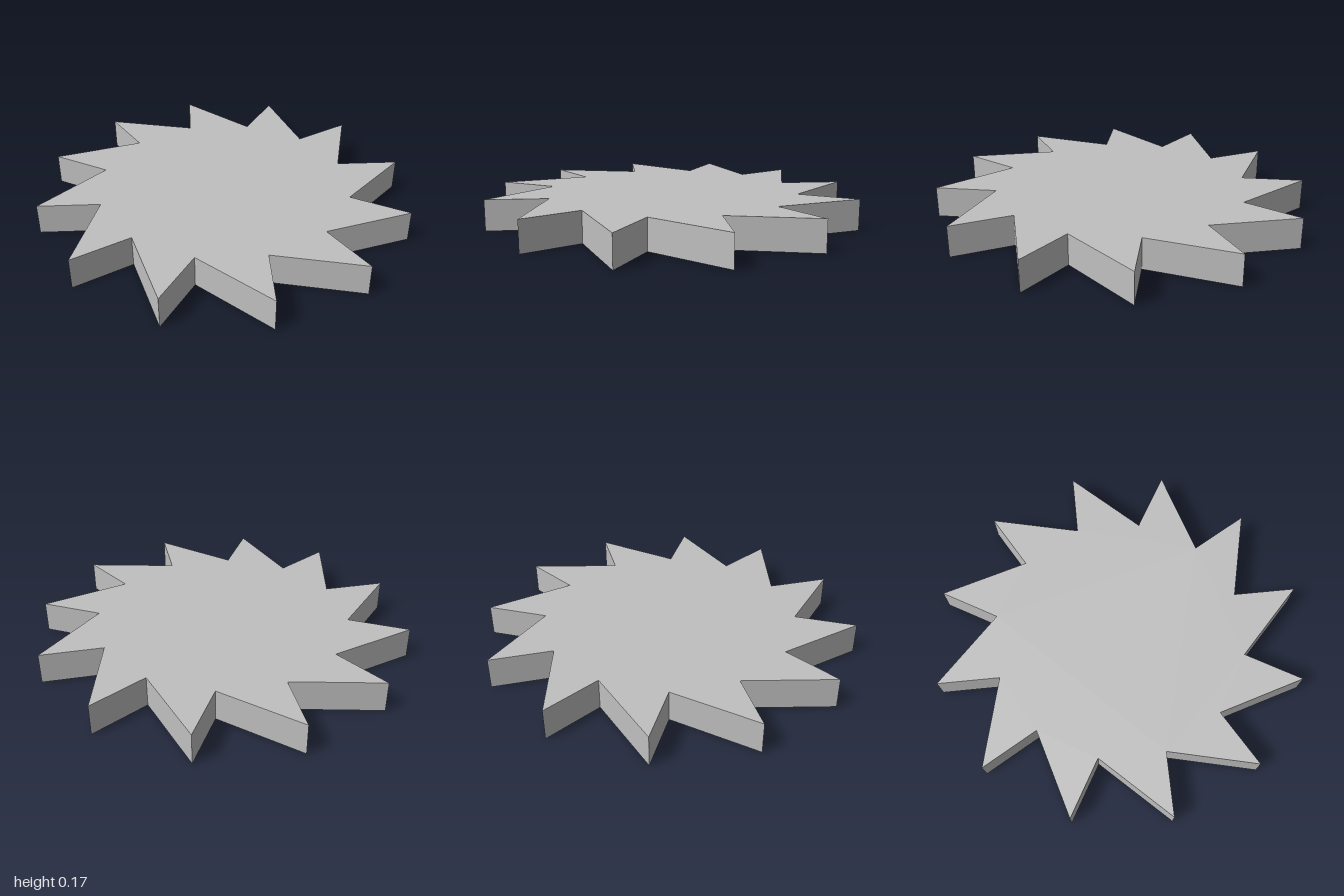
import * as THREE from 'three';

const TEETH = 12;
const HEIGHT = 0.168;
const TIP = { radius: 1.0157, angle: -10.1 };
const ROOT = { radius: 0.687, angle: 15 };

// Point of the outline for the given tooth
function outlinePoint({ radius, angle }, tooth) {
  const a = THREE.MathUtils.degToRad(angle + (tooth * 360) / TEETH);
  return new THREE.Vector2(radius * Math.cos(a), radius * Math.sin(a));
}

export function createModel() {
  const metal = new THREE.MeshStandardMaterial({ color: 0xc0c0c0 });
  metal.name = 'greyMetal';

  // Slanted saw teeth: a tip and a root for each
  const points = [];
  for (let i = 0; i < TEETH; i++) {
    points.push(outlinePoint(TIP, i), outlinePoint(ROOT, i));
  }

  // Flat solid plate, laid down so it stands on y = 0
  const geometry = new THREE.ExtrudeGeometry(new THREE.Shape(points), {
    depth: HEIGHT,
    bevelEnabled: false,
  });
  geometry.rotateX(Math.PI / 2);
  geometry.translate(0, HEIGHT, 0);

  const wheel = new THREE.Mesh(geometry, metal);
  wheel.name = 'toothedWheel';

  const group = new THREE.Group();
  group.name = 'ratchetWheel';
  group.add(wheel);
  return group;
}
